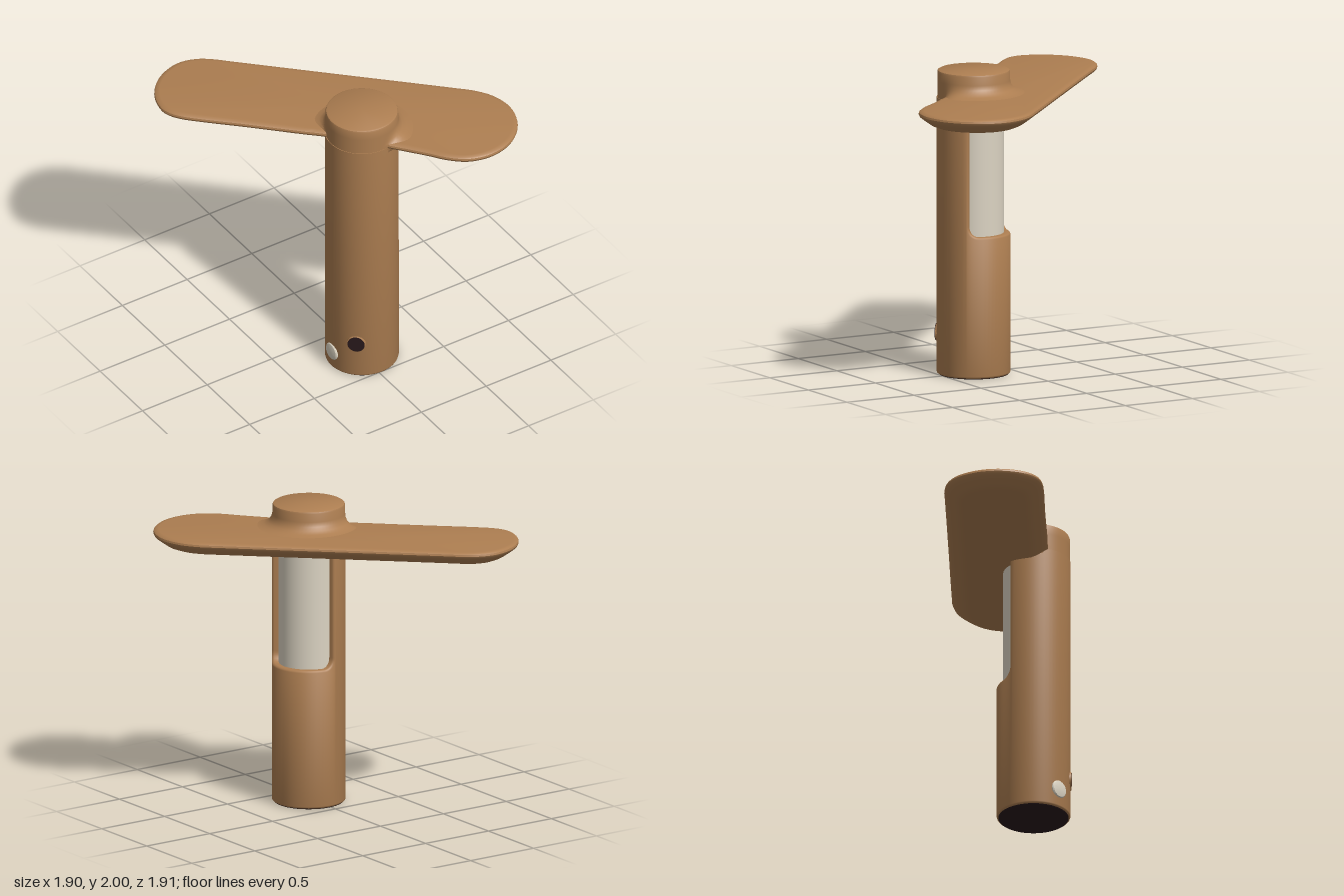
import * as THREE from 'three';
import { toCreasedNormals } from 'three/addons/utils/BufferGeometryUtils.js';

const CX = 0.014, CZ = 0.276, R = 0.239, R_IN = 0.196;
const rad = THREE.MathUtils.degToRad;

// Skin a closed loop of columns; each column is a list of [x, y, z] running upward.
function skin(columns, crease = 0.6) {
  const rows = columns[0].length, n = columns.length, index = [];
  for (let i = 0; i < n; i++) {
    for (let j = 0; j < rows - 1; j++) {
      const a = i * rows + j, b = ((i + 1) % n) * rows + j;
      index.push(a, a + 1, b, b, a + 1, b + 1);
    }
  }
  const g = new THREE.BufferGeometry();
  g.setAttribute('position', new THREE.Float32BufferAttribute(columns.flat(2), 3));
  g.setIndex(index);
  return toCreasedNormals(g, crease);
}

const polar = (angle, r, y) => [CX + r * Math.cos(angle), y, CZ + r * Math.sin(angle)];

// Top edge of the tube wall: a window with rounded lower corners, then the full-height wall.
function wallEdge(grow) {
  const top = 1.82, sill = 0.93, r = 0.07;
  const a0 = rad(-97), a1 = rad(38), da = r / R, k = (r + grow) / R;
  const start = a0 - grow / R, end = a1 + grow / R;
  const pts = [[start, top]];
  for (let i = 0; i <= 8; i++) {
    const t = (i / 8) * Math.PI / 2;
    pts.push([a0 + da - k * Math.cos(t), sill + r - (r + grow) * Math.sin(t)]);
  }
  for (let i = 1; i < 16; i++) {
    pts.push([THREE.MathUtils.lerp(a0 + da, a1 - da, i / 16), sill - grow]);
  }
  for (let i = 8; i >= 0; i--) {
    const t = (i / 8) * Math.PI / 2;
    pts.push([a1 - da + k * Math.cos(t), sill + r - (r + grow) * Math.sin(t)]);
  }
  for (let i = 0; i < 36; i++) {
    pts.push([THREE.MathUtils.lerp(end, start + 2 * Math.PI, i / 36), top]);
  }
  return pts;
}

function tubeGeometry() {
  const outer = wallEdge(0.014), mid = wallEdge(0.004), inner = wallEdge(0);
  return skin(outer.map(([a, y], i) => [
    polar(a, R - 0.012, 0.004),
    polar(a, R - 0.003, 0.009),
    polar(a, R, 0.018),
    polar(a, R, y),
    polar(mid[i][0], R - 0.005, mid[i][1]),
    polar(inner[i][0], R - 0.016, inner[i][1]),
    polar(inner[i][0], R_IN - 0.004, inner[i][1]),
  ]), 0.9);
}

// Top knob whose foot flares out only where it meets the blade.
function knobGeometry() {
  const profile = [[0.235, 1.77], [0.37, 1.842], [0.325, 1.851], [0.29, 1.861], [0.262, 1.877],
    [0.244, 1.9], [0.236, 1.93], [0.235, 1.985], [0.231, 1.995], [0.222, 2], [0, 2]];
  const columns = [];
  for (let i = 0; i < 64; i++) {
    const a = (i / 64) * 2 * Math.PI;
    const off = Math.abs(Math.atan2(Math.sin(a - rad(142)), Math.cos(a - rad(142))));
    const w = THREE.MathUtils.smoothstep(off, rad(58), rad(92));
    columns.push(profile.map(([r, y]) => polar(a, r > 0.235 ? 0.235 + (r - 0.235) * w : r, y)));
  }
  return skin(columns);
}

// Diagonal blade: an outline in plan, inset ring by ring to round its edge.
function bladeGeometry() {
  const plan = [[-0.955, -0.61], [-0.93, -0.72], [-0.86, -0.83], [-0.75, -0.915], [-0.6, -0.957],
    [-0.48, -0.93], [-0.39, -0.87], [-0.3, -0.783], [0.2, -0.3], [0.76, 0.24], [0.85, 0.33],
    [0.92, 0.44], [0.95, 0.58], [0.925, 0.71], [0.85, 0.83], [0.73, 0.92], [0.57, 0.955],
    [0.42, 0.92], [0.31, 0.83], [0.23, 0.725], [0.05, 0.505], [-0.08, 0.35], [-0.22, 0.19],
    [-0.32, 0.095], [-0.6, -0.18], [-0.82, -0.39], [-0.9, -0.475], [-0.94, -0.54]];
  const curve = new THREE.CatmullRomCurve3(
    plan.map(([x, z]) => new THREE.Vector3(x, 0, z)), true, 'centripetal');
  const rings = [[0.15, 1.747], [0.11, 1.75], [0.075, 1.764], [0.025, 1.8], [0.006, 1.815],
    [0, 1.828], [0.003, 1.84], [0.013, 1.848], [0.035, 1.851]];
  const columns = [], n = 160;
  for (let i = 0; i < n; i++) {
    const p = curve.getPointAt(i / n), t = curve.getTangentAt(i / n);
    const ring = rings.map(([d, y]) => {
      const x = p.x - t.z * d;
      return [x, y - 0.005 * x, p.z + t.x * d];
    });
    columns.push([[0.03, 1.747, 0], ...ring, [0.03, 1.851, 0]]);
  }
  return skin(columns);
}

export function createModel() {
  const model = new THREE.Group();
  const paint = (name, color) => {
    const m = new THREE.MeshStandardMaterial({ color });
    m.name = name;
    return m;
  };
  const brown = paint('warm brown', 0xad7e51);
  const cream = paint('cream', 0xdbd3c2);
  const dark = paint('dark brown', 0x2a1a1c);

  const add = (name, geometry, material, x = 0, y = 0, z = 0) => {
    const mesh = new THREE.Mesh(geometry, material);
    mesh.name = name;
    mesh.position.set(x, y, z);
    model.add(mesh);
    return mesh;
  };

  add('tube', tubeGeometry(), brown);
  add('innerSleeve', new THREE.CylinderGeometry(R_IN, R_IN, 0.95, 64), cream, CX, 1.325, CZ);
  add('baseDisc', new THREE.CylinderGeometry(R - 0.008, R - 0.014, 0.01, 64), dark, CX, 0.005, CZ);
  add('blade', bladeGeometry(), brown);
  add('knob', knobGeometry(), brown);

  // Round fittings low on the tube, facing outward
  const fitting = (name, degrees, y, profile, material) => {
    const a = rad(degrees);
    const geometry = toCreasedNormals(
      new THREE.LatheGeometry(profile.map(([r, h]) => new THREE.Vector2(r, h)), 32), 0.6);
    const mesh = add(name, geometry, material, ...polar(a, R, y));
    mesh.quaternion.setFromUnitVectors(
      new THREE.Vector3(0, 1, 0), new THREE.Vector3(Math.cos(a), 0, Math.sin(a)));
  };
  fitting('portRim', 132, 0.265, [[0.064, -0.02], [0.062, 0.002], [0.057, 0.005], [0, 0.005]], brown);
  fitting('port', 132, 0.265, [[0.056, 0], [0.056, 0.008], [0, 0.008]], dark);
  fitting('button', 178, 0.13,
    [[0.06, -0.02], [0.06, 0], [0.054, 0.007], [0.035, 0.011], [0, 0.012]], cream);

  return model;
}
